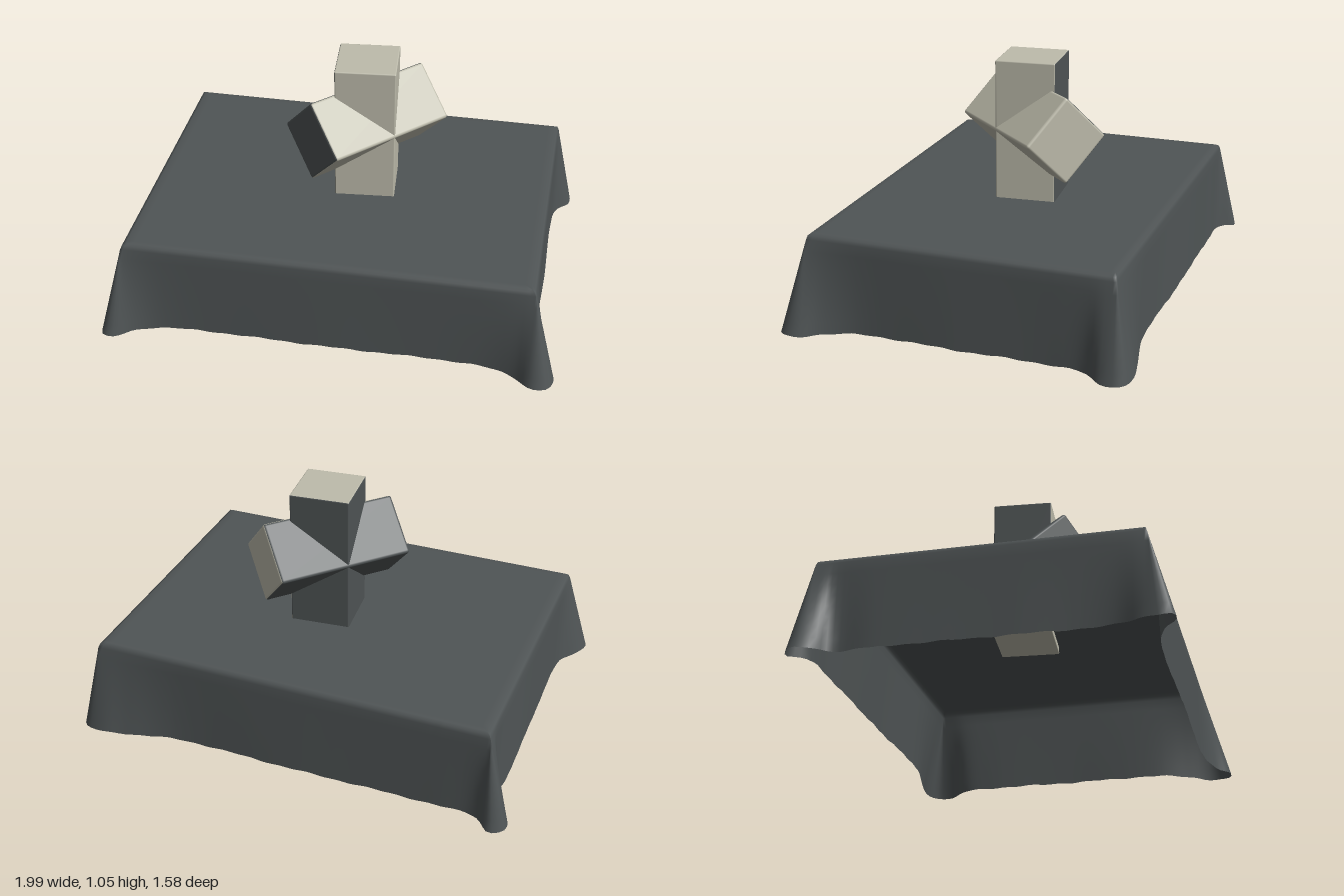
import * as THREE from 'three';
import { mergeVertices } from 'three/addons/utils/BufferGeometryUtils.js';
import { RoundedBoxGeometry } from 'three/addons/geometries/RoundedBoxGeometry.js';

const TOP_Y = 0.43;

// Corners of the flat table top, as [x, z]
const tableCorners = [[-0.87, -0.71], [0.91, -0.65], [0.87, 0.68], [-0.9, 0.63]]
  .map(([x, z]) => new THREE.Vector3(x, 0, z));

// Hem of the cloth, as [x, z]: straight sides with a hanging fold at each corner
const hemPoints = [
  [-0.89, -0.45], [-0.88, -0.62], [-0.95, -0.68], [-0.965, -0.76], [-0.9, -0.795], [-0.83, -0.73],
  [-0.65, -0.715], [0, -0.695], [0.55, -0.675], [0.78, -0.71], [0.9, -0.725], [0.985, -0.7],
  [0.99, -0.61], [0.93, -0.53], [0.91, -0.4], [0.9, 0], [0.885, 0.46], [0.92, 0.6],
  [0.97, 0.71], [0.95, 0.775], [0.88, 0.79], [0.8, 0.73], [0.68, 0.69], [0, 0.665],
  [-0.74, 0.65], [-0.85, 0.68], [-0.95, 0.735], [-0.995, 0.71], [-0.975, 0.62], [-0.91, 0.5],
  [-0.895, 0.1],
].map(([x, z]) => new THREE.Vector3(x, 0, z));

// Nearest point on the edge of the table top
function nearestOnEdge(p) {
  let best = null;
  tableCorners.forEach((a, i) => {
    const b = tableCorners[(i + 1) % tableCorners.length];
    const q = new THREE.Line3(a, b).closestPointToPoint(p, true, new THREE.Vector3());
    if (!best || q.distanceTo(p) < best.distanceTo(p)) best = q;
  });
  return best;
}

// Cloth lofted from the middle of the top, over a rounded edge, down to the hem
function clothGeometry() {
  const samples = 260, skirtRows = 8;
  const hem = new THREE.CatmullRomCurve3(hemPoints, true, 'centripetal').getSpacedPoints(samples).slice(0, samples);
  // [inset from the edge, height] over the rounded edge
  const edgeRows = [[1, TOP_Y], [0.06, TOP_Y], [0.025, TOP_Y], [0.008, TOP_Y - 0.008]];
  const rows = edgeRows.length + skirtRows + 1;
  const positions = [], indices = [];
  for (let r = 0; r < rows; r++) {
    hem.forEach((h, j) => {
      const p = nearestOnEdge(h);
      let y;
      if (r < edgeRows.length) {
        p.multiplyScalar(1 - edgeRows[r][0]);
        y = edgeRows[r][1];
      } else {
        const t = (r - edgeRows.length) / skirtRows;
        const flare = Math.min(1, p.distanceTo(h) / 0.1);
        const hemY = 0.016 - 0.012 * flare + 0.004 * Math.sin(j * 0.9) * Math.sin(j * 0.37);
        p.lerp(h, t);
        y = THREE.MathUtils.lerp(TOP_Y - 0.025, Math.max(0, hemY), t);
      }
      positions.push(p.x, y, p.z);
    });
  }
  for (let r = 0; r < rows - 1; r++) {
    for (let j = 0; j < samples; j++) {
      const k = (j + 1) % samples;
      const a = r * samples + j, b = r * samples + k, c = a + samples, d = b + samples;
      if (r > 0) indices.push(a, b, d);
      indices.push(a, d, c);
    }
  }
  const geometry = new THREE.BufferGeometry();
  geometry.setAttribute('position', new THREE.Float32BufferAttribute(positions, 3));
  geometry.setIndex(indices);
  const merged = mergeVertices(geometry, 1e-5);
  merged.computeVertexNormals();
  return merged;
}

export function createModel() {
  const charcoal = new THREE.MeshStandardMaterial({ color: 0x4f5455, side: THREE.DoubleSide });
  charcoal.name = 'charcoal';
  const stone = new THREE.MeshStandardMaterial({ color: 0xbdbbab });
  stone.name = 'paleStone';

  const model = new THREE.Group();
  model.name = 'clothCoveredTableWithBlocks';

  const cloth = new THREE.Mesh(clothGeometry(), charcoal);
  cloth.name = 'tablecloth';
  model.add(cloth);

  // Two crossing square blocks, pale on one side and charcoal on the other
  const sculpture = new THREE.Group();
  sculpture.name = 'crossedBlocks';
  sculpture.position.set(0.064, 0, -0.04);
  model.add(sculpture);

  // Materials run +x, -x, +y, -y, +z, -z
  const post = new THREE.Mesh(
    new RoundedBoxGeometry(0.265, 0.65, 0.265, 2, 0.006),
    [stone, charcoal, stone, stone, stone, charcoal]);
  post.name = 'uprightBlock';
  post.position.y = 0.725;
  post.rotation.y = 0.06;
  sculpture.add(post);

  // Level block turned on its edge
  const beam = new THREE.Mesh(
    new RoundedBoxGeometry(0.615, 0.272, 0.272, 3, 0.012),
    [stone, charcoal, stone, charcoal, stone, charcoal]);
  beam.name = 'levelBlock';
  beam.position.y = 0.742;
  beam.rotation.set(Math.PI / 4, 0.8, 0, 'YXZ');
  sculpture.add(beam);

  return model;
}
